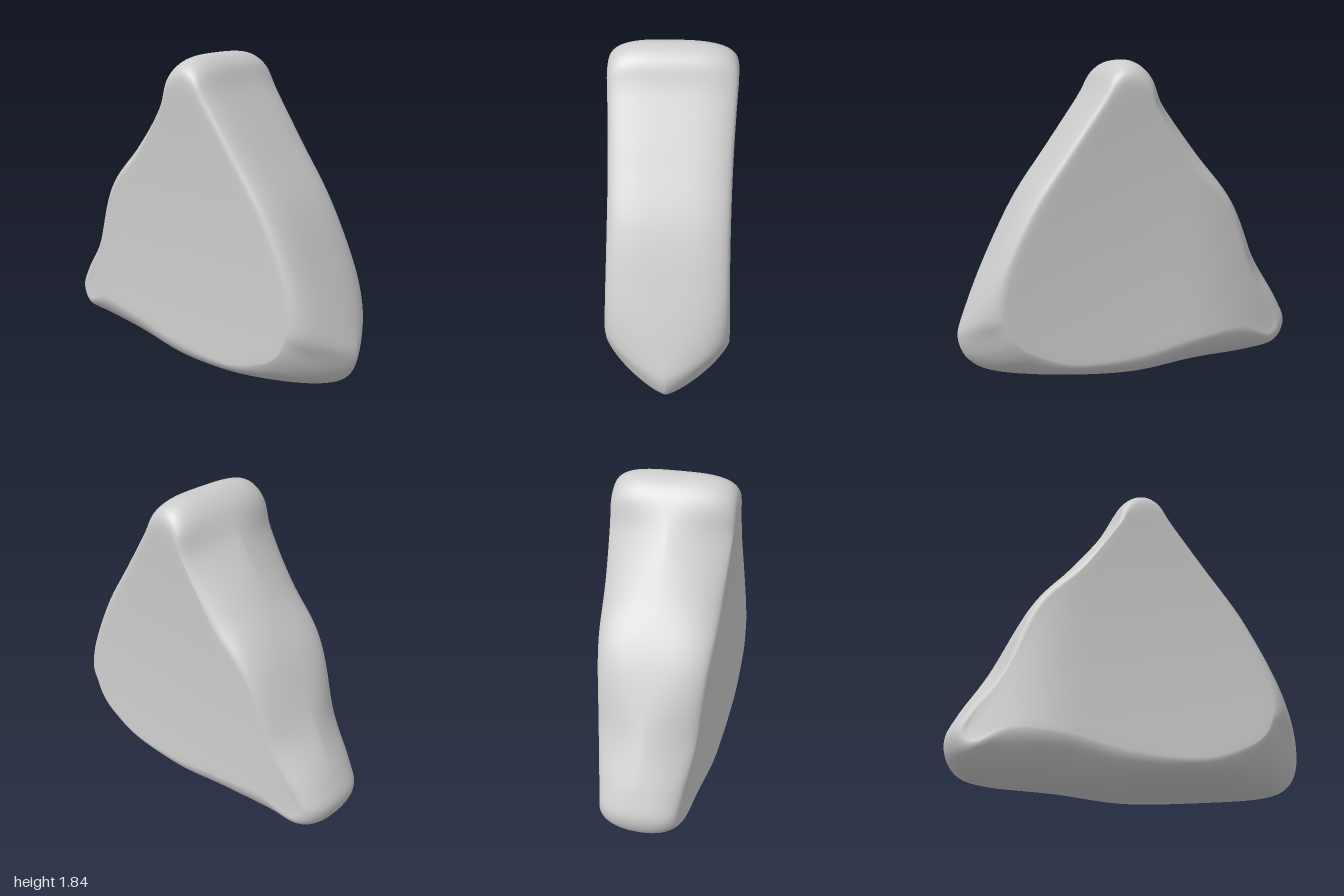
import * as THREE from 'three';

// Stations clockwise from the peak:
// rim x, rim y, section roundness, face-edge x, face-edge y
const STATIONS = [
  [0.04, 1.845, 3.2, 0.04, 1.68],
  [0.15, 1.795, 3.2, 0.12, 1.66],
  [0.24, 1.64, 3.2, 0.19, 1.57],
  [0.44, 1.35, 3.2, 0.37, 1.3],
  [0.64, 1.06, 3.2, 0.55, 1.02],
  [0.81, 0.73, 2.9, 0.69, 0.74],
  [0.95, 0.43, 1.9, 0.76, 0.51],
  [1.0, 0.27, 1.35, 0.74, 0.39],
  [0.94, 0.125, 1.3, 0.69, 0.3],
  [0.78, 0.05, 1.5, 0.58, 0.23],
  [0.4, 0.025, 1.9, 0.35, 0.16],
  [0, 0.003, 2, 0, 0.18],
  [-0.4, 0.03, 1.7, -0.36, 0.26],
  [-0.76, 0.05, 1.7, -0.64, 0.29],
  [-0.93, 0.115, 2.2, -0.82, 0.23],
  [-1, 0.25, 2.4, -0.87, 0.28],
  [-0.95, 0.4, 2, -0.83, 0.38],
  [-0.8, 0.67, 1.45, -0.69, 0.62],
  [-0.6, 1.04, 2.5, -0.52, 1.0],
  [-0.4, 1.32, 1.8, -0.31, 1.24],
  [-0.2, 1.61, 1.4, -0.11, 1.54],
  [-0.08, 1.785, 2.6, -0.04, 1.65],
];
const AROUND = 176, FACE = 12, EDGE = 16;
const CENTRE = { x: 0.05, y: 0.8 };

const loop = (pick) => new THREE.CatmullRomCurve3(
  STATIONS.map((s) => new THREE.Vector3(...pick(s))), true, 'catmullrom', 0.5);

// Half thickness: a slight dish, thinning towards the low corner at -x
function depth(x, y) {
  const thin = Math.max(0, -x - 0.3);
  return 0.318 + 0.03 * ((y - 0.85) / 0.8) ** 2 + 0.02 * (x / 0.75) ** 2 - 0.4 * thin * thin;
}

function stoneGeometry() {
  const rim = loop((s) => [s[0], s[1], s[2]]);
  const face = loop((s) => [s[3], s[4], 0]);
  const half = FACE + EDGE, rows = 2 * half;
  const positions = [], indices = [];

  // Rows run from the front centre over the rim to the back centre
  for (let i = 0; i <= rows; i++) {
    const back = i > half;
    const k = back ? rows - i : i;
    for (let j = 0; j < AROUND; j++) {
      const m = rim.getPoint(j / AROUND), f = face.getPoint(j / AROUND);
      let x, y, z;
      if (k <= FACE) {
        // dished face
        x = THREE.MathUtils.lerp(CENTRE.x, f.x, k / FACE);
        y = THREE.MathUtils.lerp(CENTRE.y, f.y, k / FACE);
        z = depth(x, y);
      } else {
        // superelliptic edge from the face to the rim
        const a = ((k - FACE) / EDGE) * Math.PI / 2;
        const out = Math.pow(Math.sin(a), 2 / m.z);
        x = f.x + (m.x - f.x) * out;
        y = f.y + (m.y - f.y) * out;
        z = k === half ? 0 : depth(f.x, f.y) * Math.pow(Math.cos(a), 2 / m.z);
      }
      positions.push(x, y, back ? -z : z);
    }
  }
  for (let i = 0; i < rows; i++) {
    for (let j = 0; j < AROUND; j++) {
      const n = (j + 1) % AROUND;
      const a = i * AROUND + j, b = i * AROUND + n;
      const c = a + AROUND, d = b + AROUND;
      indices.push(a, b, c, b, d, c);
    }
  }
  const geometry = new THREE.BufferGeometry();
  geometry.setAttribute('position', new THREE.Float32BufferAttribute(positions, 3));
  geometry.setIndex(indices);
  geometry.computeVertexNormals();
  return geometry;
}

export function createModel() {
  const group = new THREE.Group();
  group.name = 'rock';
  const stoneGrey = new THREE.MeshStandardMaterial({ color: 0xcccccc });
  stoneGrey.name = 'stone grey';
  const stone = new THREE.Mesh(stoneGeometry(), stoneGrey);
  stone.name = 'stone';
  group.add(stone);
  return group;
}
